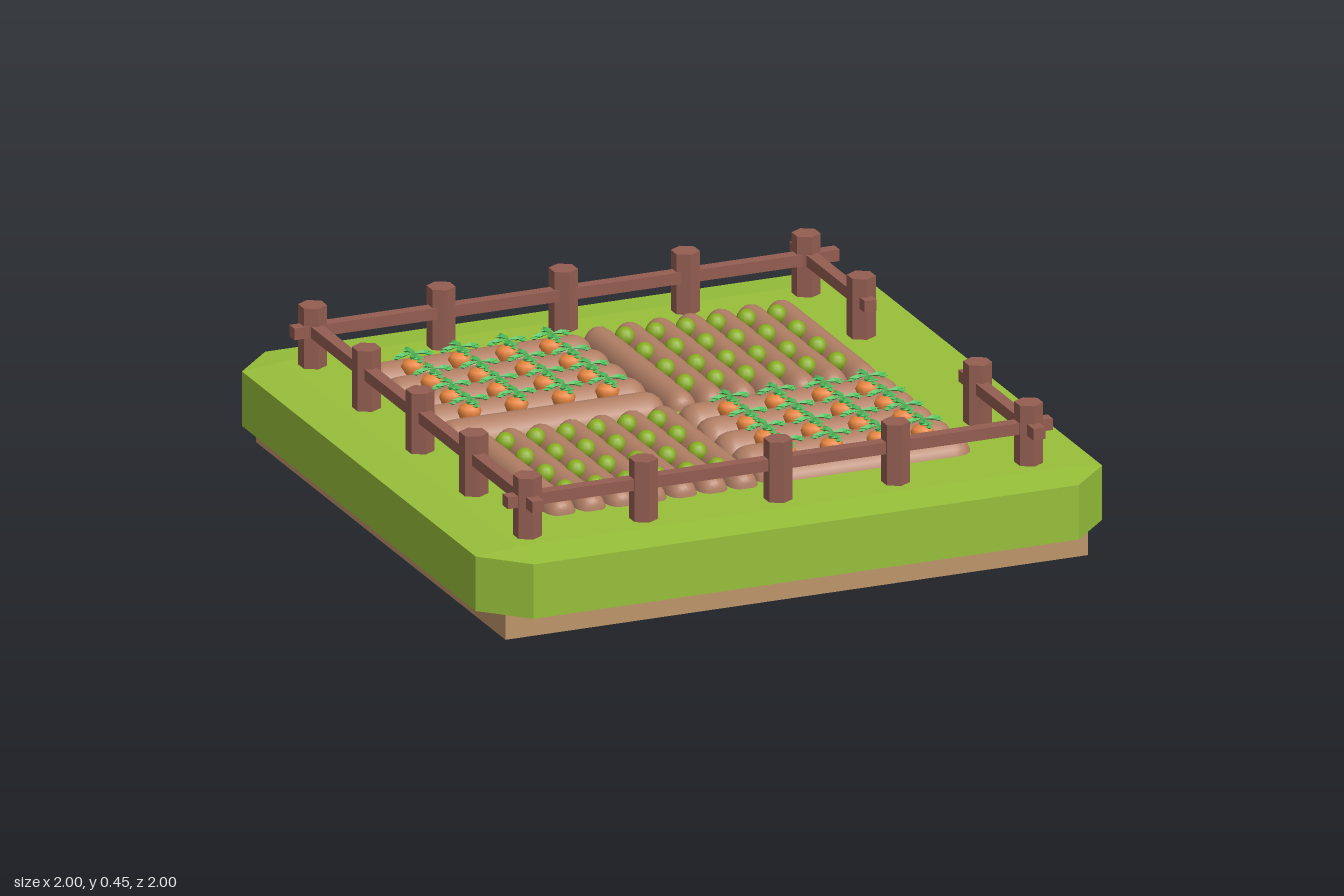
import * as THREE from 'three';
import { ConvexGeometry } from 'three/addons/geometries/ConvexGeometry.js';
import { mergeGeometries } from 'three/addons/utils/BufferGeometryUtils.js';

const mat = (name, color, flatShading = false) => {
  const m = new THREE.MeshStandardMaterial({ color, flatShading });
  m.name = name;
  return m;
};

export function createModel() {
  const model = new THREE.Group();
  model.name = 'vegetableGarden';
  const grass = mat('grass green', 0x97bf3a, true);
  const earth = mat('earth tan', 0xbd946a, true);
  const soil = mat('soil brown', 0xb27f65);
  const wood = mat('fence wood', 0x935d50, true);
  const orange = mat('carrot orange', 0xe6853f);
  const leaf = mat('leaf green', 0x50bd5c, true);
  const sprout = mat('sprout green', 0x88ad22);

  const add = (parent, name, geometry, material, x = 0, y = 0, z = 0) => {
    const mesh = new THREE.Mesh(geometry, material);
    mesh.name = name;
    mesh.position.set(x, y, z);
    parent.add(mesh);
    return mesh;
  };
  const group = (name) => {
    const g = new THREE.Group();
    g.name = name;
    model.add(g);
    return g;
  };

  // Earth slab and lawn with cut corners and gently sloped borders
  add(model, 'earthSlab', new THREE.BoxGeometry(1.86, 0.08, 1.86), earth, 0, 0.04, 0);
  const points = [];
  for (const sx of [-1, 1]) for (const sz of [-1, 1]) {
    for (const y of [0.08, 0.25]) {
      points.push(new THREE.Vector3(sx, y, sz * 0.87), new THREE.Vector3(sx * 0.87, y, sz));
    }
    for (const y of [0.07, 0.262]) points.push(new THREE.Vector3(sx * 0.87, y, sz * 0.87));
  }
  add(model, 'lawn', new ConvexGeometry(points), grass);

  // Fence: hexagonal posts and square rails, open on the right side
  const fence = group('fence');
  const postGeo = new THREE.CylinderGeometry(0.043, 0.043, 0.2, 6);
  const posts = [
    [-0.8, 0.79], [-0.43, 0.79], [0, 0.79], [0.375, 0.79], [0.8, 0.79],
    [-0.8, -0.81], [-0.39, -0.81], [0, -0.81], [0.39, -0.81], [0.775, -0.81],
    [-0.8, -0.41], [-0.8, -0.01], [-0.8, 0.39], [0.78, -0.41], [0.8, 0.41],
  ];
  for (const [x, z] of posts) add(fence, 'post', postGeo, wood, x, 0.35, z);
  const rail = (name, x0, x1, z0, z1) => add(fence, name,
    new THREE.BoxGeometry(Math.max(x1 - x0, 0.038), 0.036, Math.max(z1 - z0, 0.038)),
    wood, (x0 + x1) / 2, 0.376, (z0 + z1) / 2);
  rail('frontRail', -0.87, 0.87, 0.788, 0.788);
  rail('backRail', -0.87, 0.87, -0.8, -0.8);
  rail('rightRail', -0.8, -0.8, -0.87, 0.87);
  rail('leftBackRail', 0.78, 0.78, -0.9, -0.34);
  rail('leftFrontRail', 0.8, 0.8, 0.31, 0.87);

  // Soil ridge: a bar along y with softly rounded ends
  const ridgeGeo = (length, radius) => {
    const h = length / 2;
    const end = [[0, 0], [0.5, 0], [0.72, 0.008], [0.9, 0.024], [0.98, 0.04], [1, 0.06]];
    const profile = end.map(([r, d]) => new THREE.Vector2(r * radius, d - h));
    for (const [r, d] of [...end].reverse()) profile.push(new THREE.Vector2(r * radius, h - d));
    return new THREE.LatheGeometry(profile, 20);
  };

  // Carrot foliage: four drooping arms with side leaflets and a middle tuft
  const leafPart = (sx, sy, sz, x, y, z) =>
    new THREE.OctahedronGeometry(1).scale(sx, sy, sz).translate(x, y, z);
  const foliageParts = [leafPart(0.012, 0.022, 0.012, 0, 0.335, 0)];
  for (let i = 0; i < 4; i++) {
    const arm = [
      leafPart(0.03, 0.008, 0.011, 0.032, 0.345, 0),
      leafPart(0.009, 0.006, 0.021, 0.04, 0.342, 0),
      leafPart(0.014, 0.007, 0.011, 0.052, 0.337, 0),
    ];
    for (const g of arm) foliageParts.push(g.rotateY(i * Math.PI / 2));
  }
  const foliageGeo = mergeGeometries(foliageParts);

  const rootGeo = new THREE.LatheGeometry([
    [0, -0.08], [0.012, -0.06], [0.03, -0.01], [0.036, 0.008], [0.03, 0.022], [0.012, 0.029], [0, 0.03],
  ].map(([r, y]) => new THREE.Vector2(r, y)), 10);

  // Carrot bed: five ridges along x, plants in the furrows
  const carrotBed = (name, x0, x1, rows, xs, zs) => {
    const bed = group(name);
    const geo = ridgeGeo(x1 - x0, 0.073).rotateZ(Math.PI / 2);
    for (const z of rows) add(bed, 'soilRidge', geo, soil, (x0 + x1) / 2, 0.237, z);
    for (const x of xs) for (const z of zs) {
      add(bed, 'carrotRoot', rootGeo, orange, x, 0.297, z);
      add(bed, 'carrotLeaves', foliageGeo, leaf, x, 0, z);
    }
  };
  carrotBed('backCarrotBed', -0.71, 0, [-0.617, -0.483, -0.35, -0.217, -0.08],
    [-0.58, -0.43, -0.28, -0.14], [-0.575, -0.43, -0.29, -0.155]);
  carrotBed('frontCarrotBed', 0, 0.685, [0.07, 0.2, 0.333, 0.463, 0.595],
    [0.13, 0.28, 0.43, 0.57], [0.125, 0.265, 0.395, 0.535]);

  // Sprout bed: seven ridges along z, round sprouts in the furrows
  const sproutGeo = new THREE.SphereGeometry(0.03, 12, 8);
  const sproutBed = (name, x0, z0, z1, zs) => {
    const bed = group(name);
    const geo = ridgeGeo(z1 - z0, 0.05).rotateX(Math.PI / 2).scale(1, 1.3, 1);
    for (let i = 0; i < 7; i++) {
      const x = x0 + i * 0.097;
      add(bed, 'soilRidge', geo, soil, x, 0.245, (z0 + z1) / 2);
      if (i < 6) for (const z of zs) add(bed, 'sprout', sproutGeo, sprout, x + 0.0485, 0.297, z);
    }
  };
  sproutBed('backSproutBed', 0.052, -0.705, -0.015, [-0.585, -0.44, -0.285, -0.14]);
  sproutBed('frontSproutBed', -0.63, 0, 0.675, [0.115, 0.26, 0.413, 0.56]);

  return model;
}
